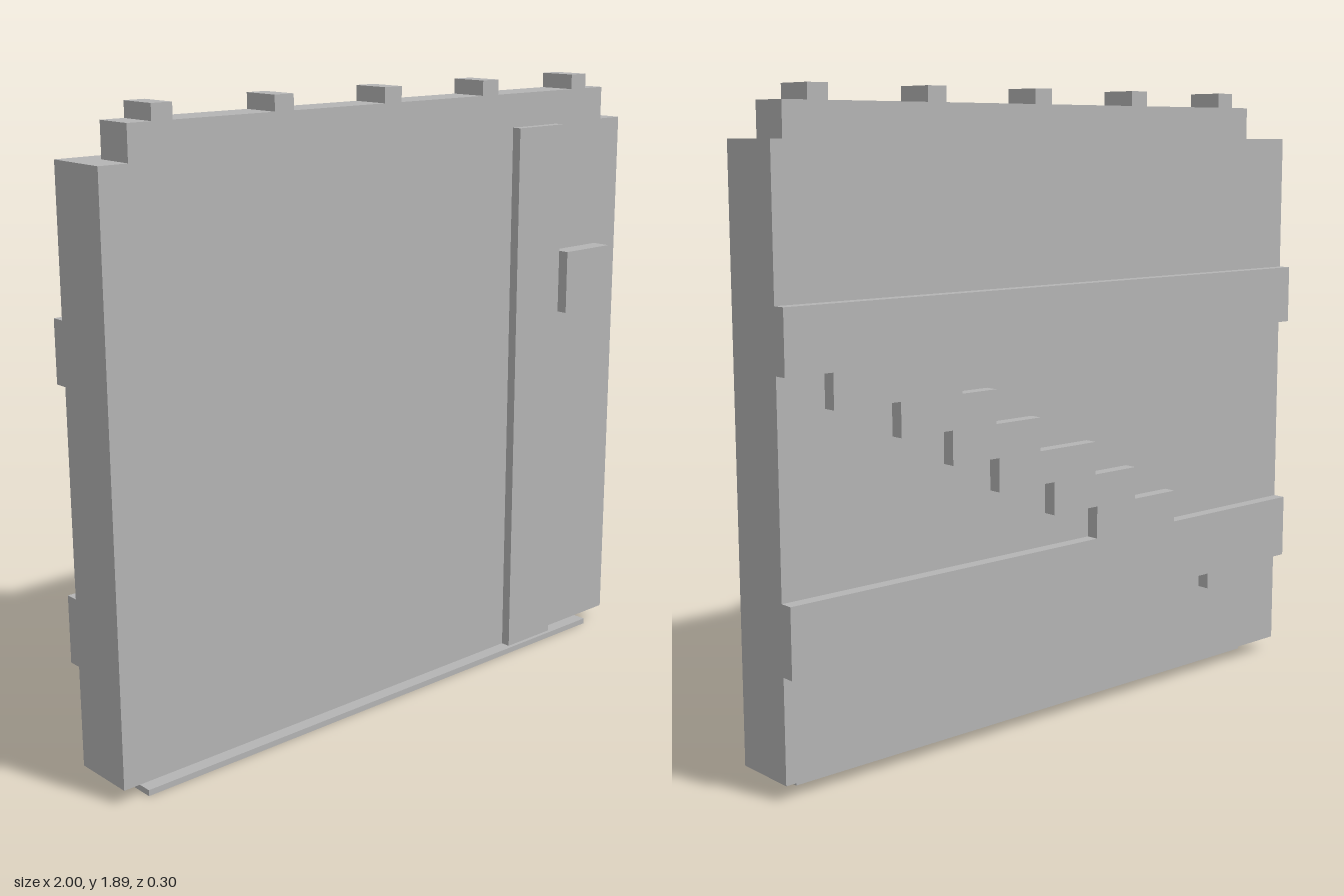
import * as THREE from 'three';

export function createModel() {
  const model = new THREE.Group();
  model.name = 'wallPanel';
  const grey = new THREE.MeshStandardMaterial({ color: 0xb4b4b4 });
  grey.name = 'plain grey';

  // Box given by its lower and upper limits on each axis
  function box(name, x0, x1, y0, y1, z0, z1) {
    const mesh = new THREE.Mesh(new THREE.BoxGeometry(x1 - x0, y1 - y0, z1 - z0), grey);
    mesh.position.set((x0 + x1) / 2, (y0 + y1) / 2, (z0 + z1) / 2);
    mesh.name = name;
    model.add(mesh);
  }

  // Wall slab with its top rail and the thin sill floating below
  box('wall', -1, 1, 0.045, 1.745, -0.11, 0.09);
  box('topRail', -0.91, 0.91, 1.745, 1.845, -0.03, 0.09);
  box('bottomSill', -0.92, 0.915, 0, 0.018, -0.03, 0.09);

  // Row of studs on the rail
  for (let i = -2; i <= 2; i++) {
    const x = i * 0.4 - 0.0025;
    box('topStud', x - 0.033, x + 0.033, 1.845, 1.89, -0.03, 0.09);
  }

  // Front pilaster and the switch block beside it
  box('frontStrip', 0.5, 0.695, 0.045, 1.742, 0.09, 0.12);
  box('frontBlock', 0.7, 0.9, 1.145, 1.342, 0.09, 0.15);

  // Back relief: two bands joined by a stepped diagonal
  const relief = new THREE.Shape();
  relief.moveTo(1, 1.325);
  relief.lineTo(1, 1.145);
  let y = 1.145;
  for (const x of [0.85, 0.63, 0.45, 0.28, 0.065, -0.113]) { // lower stair edge
    relief.lineTo(x, y);
    y -= 0.1;
    relief.lineTo(x, y);
  }
  relief.lineTo(1, 0.545);
  relief.lineTo(1, 0.345);
  relief.lineTo(-0.62, 0.345);
  relief.lineTo(-0.62, 0.295);
  relief.lineTo(-0.855, 0.295);
  relief.lineTo(-0.855, 0.345);
  relief.lineTo(-1, 0.345);
  relief.lineTo(-1, 0.545);
  y = 0.545;
  for (const x of [-0.455, -0.277, -0.105, 0.12, 0.29, 0.415]) { // upper stair edge
    relief.lineTo(x, y);
    y += 0.1;
    relief.lineTo(x, y);
  }
  relief.lineTo(-1, 1.145);
  relief.lineTo(-1, 1.325);
  relief.closePath();
  const back = new THREE.Mesh(
    new THREE.ExtrudeGeometry(relief, { depth: 0.04, bevelEnabled: false }), grey);
  back.position.z = -0.15;
  back.name = 'backRelief';
  model.add(back);

  return model;
}
